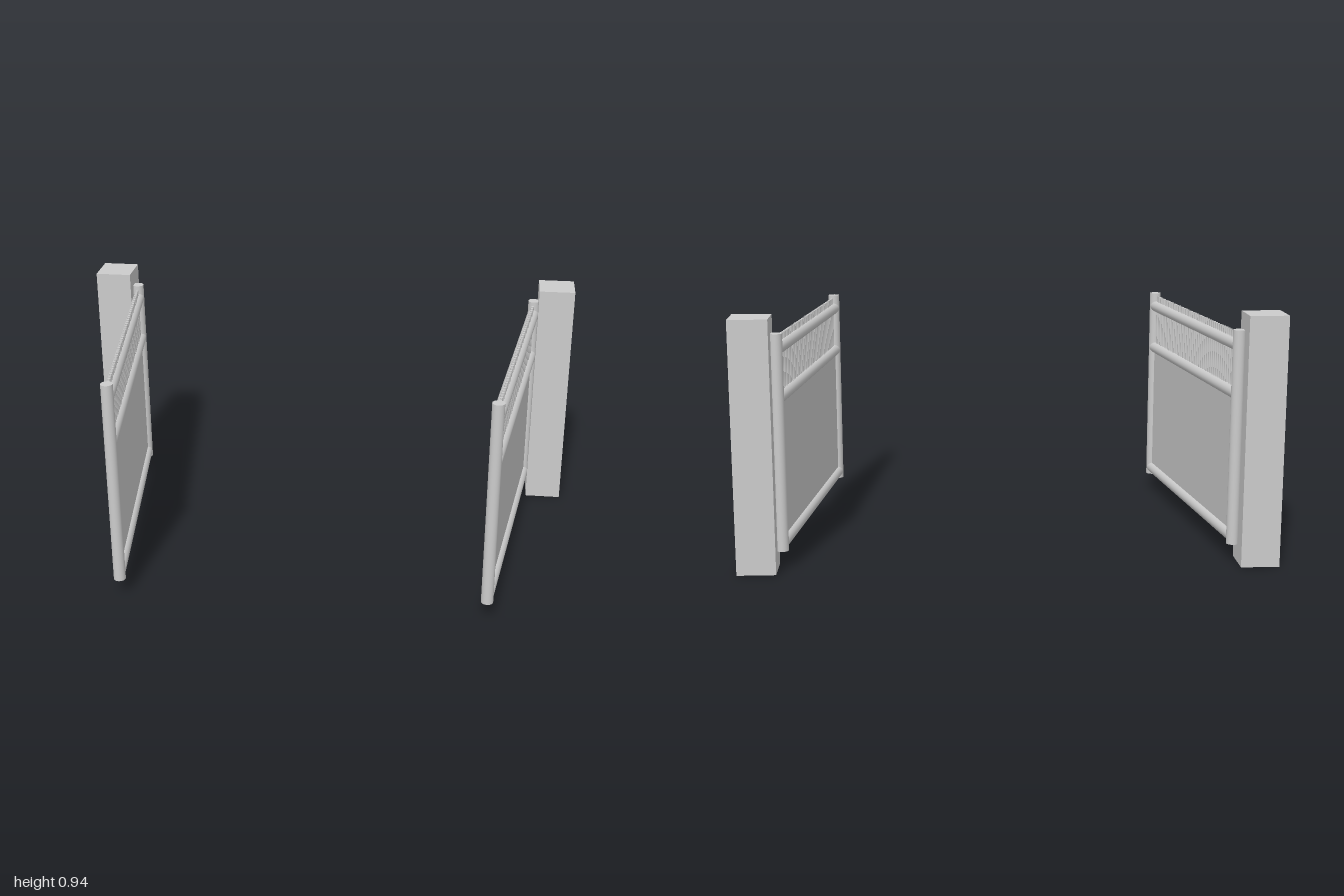
import * as THREE from 'three';

const material = new THREE.MeshStandardMaterial({ color: 0xcccccc });

function addMesh(parent, name, geometry, x, y, z) {
  const mesh = new THREE.Mesh(geometry, material);
  mesh.name = name;
  mesh.position.set(x, y, z);
  parent.add(mesh);
  return mesh;
}

// One gate leaf, built along +z from its hinge post at the origin
function createLeaf(length) {
  const leaf = new THREE.Group();
  const radius = 0.023;

  // Upright posts at both ends
  const post = new THREE.CylinderGeometry(radius, radius, 0.81, 24);
  addMesh(leaf, 'hingePost', post, 0, 0.473, 0);
  addMesh(leaf, 'latchPost', post, 0, 0.473, length);

  // Horizontal rails
  const rail = new THREE.CylinderGeometry(radius, radius, length, 24).rotateX(Math.PI / 2);
  const heights = { bottomRail: 0.097, middleRail: 0.64, topRail: 0.821 };
  for (const [name, y] of Object.entries(heights)) addMesh(leaf, name, rail, 0, y, length / 2);

  // Solid lower panel
  addMesh(leaf, 'panel', new THREE.BoxGeometry(0.01, 0.543, length), 0, 0.3685, length / 2);

  // Thin bars rising through the top rail
  const bar = new THREE.CylinderGeometry(0.0055, 0.0055, 0.23, 10);
  const spacing = 0.02335;
  for (let d = 2 * spacing; d < length - 1.5 * spacing; d += spacing) {
    addMesh(leaf, 'bar', bar, 0, 0.753, length - d);
  }
  return leaf;
}

export function createModel() {
  const model = new THREE.Group();
  model.name = 'openGate';

  const hinge = new THREE.Vector2(0.838, -0.5);
  const latch = new THREE.Vector2(0.699, 0.562);
  const length = hinge.distanceTo(latch);
  const pillar = new THREE.BoxGeometry(0.144, 0.94, 0.144);

  // Mirrored sides, each with a pillar and a swung-open leaf
  for (const [side, s] of [['left', 1], ['right', -1]]) {
    addMesh(model, side + 'Pillar', pillar, s * 0.928, 0.47, -0.513);
    const leaf = createLeaf(length);
    leaf.name = side + 'Leaf';
    leaf.position.set(s * hinge.x, 0, hinge.y);
    leaf.rotation.y = Math.atan2(s * (latch.x - hinge.x), latch.y - hinge.y);
    model.add(leaf);
  }
  return model;
}
